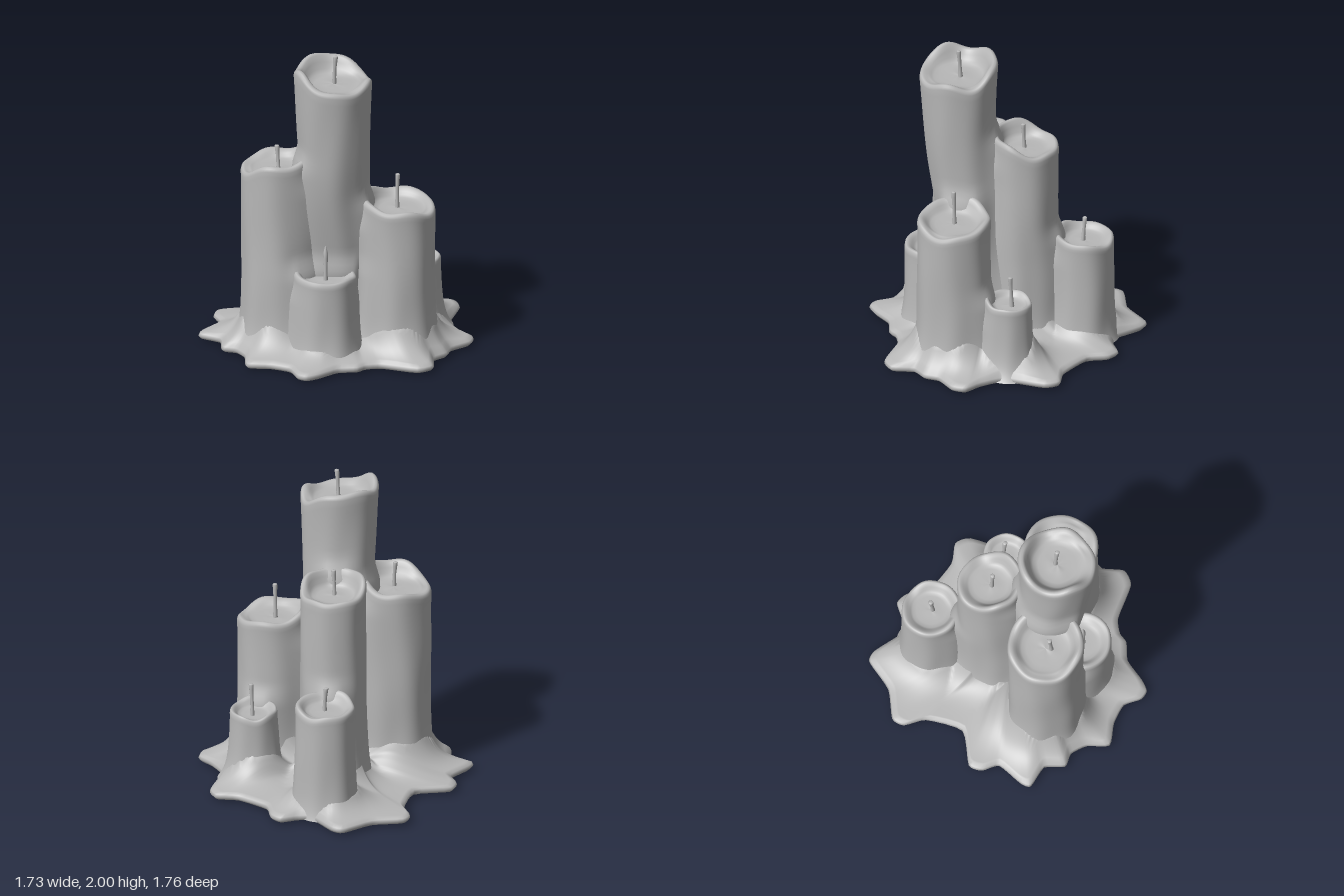
import * as THREE from 'three';

const wax = new THREE.MeshStandardMaterial({ color: 0xb8b8b8 });
wax.name = 'greyWax';

// x, z, radius, rim height, tilt and direction of the high side, lumpiness, taper and bend towards the base,
// flare of the foot, rise of the puddle around it, bowl floor, wick position and tip
const candles = [
  { name: 'tallestCandle', x: -0.005, z: 0.285, r: 0.243, top: 1.88, tilt: 0.05, dir: 3.7, lump: 0.022, taper: -0.26, bend: -0.25, foot: 0.04, rise: 0.1, floor: 1.81, wx: 0, wz: 0.27, tip: 2 },
  { name: 'leftCandle', x: -0.355, z: 0.272, r: 0.236, top: 1.285, tilt: 0.06, dir: 0.2, lump: 0.016, taper: -0.02, bend: 0, foot: 0.09, rise: 0.2, floor: 1.21, wx: -0.35, wz: 0.31, tip: 1.38 },
  { name: 'rightCandle', x: 0.405, z: 0.238, r: 0.229, top: 1.02, tilt: 0.035, dir: 3.3, lump: 0.012, taper: 0.01, bend: 0, foot: 0.09, rise: 0.2, floor: 0.97, wx: 0.395, wz: 0.235, tip: 1.2 },
  { name: 'middleCandle', x: -0.035, z: -0.14, r: 0.205, top: 1.39, tilt: 0.05, dir: 1.7, lump: 0.012, taper: 0, bend: 0, foot: 0.08, rise: 0.15, floor: 1.32, wx: -0.04, wz: -0.13, tip: 1.49 },
  { name: 'backCandle', x: -0.045, z: -0.515, r: 0.185, top: 0.735, tilt: 0.02, dir: 1.5, lump: 0.008, taper: 0.06, bend: 0, foot: 0.04, rise: 0.1, floor: 0.69, wx: -0.04, wz: -0.505, tip: 0.85 },
  { name: 'smallCandle', x: 0.475, z: -0.127, r: 0.148, top: 0.5, tilt: 0.014, dir: 1.5, lump: 0.008, taper: 0.04, bend: 0, foot: 0.09, rise: 0.18, floor: 0.46, wx: 0.48, wz: -0.15, tip: 0.67 },
  { name: 'frontCandle', x: -0.035, z: 0.437, r: 0.195, top: 0.585, tilt: 0.008, dir: 3, lump: 0.006, taper: 0.05, bend: 0, foot: 0.05, rise: 0.08, floor: 0.54, wx: -0.03, wz: 0.455, tip: 0.78, pointed: true },
];

// Skin closed rings of points, each ring joined to the next
function loft(name, rings) {
  const n = rings[0].length, pos = [], idx = [];
  rings.forEach(ring => ring.forEach(p => pos.push(p.x, p.y, p.z)));
  for (let k = 0; k < rings.length - 1; k++) {
    for (let i = 0; i < n; i++) {
      const a = k * n + i, b = k * n + (i + 1) % n;
      idx.push(a, a + n, b, b, a + n, b + n);
    }
  }
  const g = new THREE.BufferGeometry();
  g.setAttribute('position', new THREE.Float32BufferAttribute(pos, 3));
  g.setIndex(idx);
  g.computeVertexNormals();
  const mesh = new THREE.Mesh(g, wax);
  mesh.name = name;
  return mesh;
}

// Axis and plain radius of a candle at a height, and the distance of a point from its wall
const below = (c, y) => Math.max(0, 1 - y / c.top);
const axisZ = (c, y) => c.z + c.bend * below(c, y) ** 2;
const plainRadius = (c, y) => c.r * (1 + c.taper * below(c, y));
const gap = (c, x, y, z) => Math.max(0, Math.hypot(x - c.x, z - axisZ(c, y)) - plainRadius(c, y));

function makeCandle(c, seed) {
  const sides = 72, ph = seed * 1.9 + 0.6;
  const rim = a => c.top + c.tilt * Math.cos(a - c.dir)
    + c.lump * (Math.sin(3 * a + ph) + 0.6 * Math.sin(5 * a + 2 * ph));
  // Wall radius: runs of wax, a flared foot and webs towards the neighbours
  const radius = (a, y) => {
    const f = Math.min(1, y / c.top);
    let r = plainRadius(c, y) + 0.03 * c.r * f ** 12 + c.foot * Math.exp(-y / 0.09);
    r += c.r * (1 - 0.6 * f) * (0.022 * Math.sin(3 * a + ph + 1.3 * y)
      + 0.018 * Math.sin(7 * a - ph + Math.sin(4 * y)) + 0.012 * Math.sin(9 * y + 2 * a));
    const x = c.x + Math.cos(a) * r, z = axisZ(c, y) + Math.sin(a) * r;
    const ownFade = THREE.MathUtils.smoothstep(c.top - y, 0, 0.2);
    for (const o of candles) {
      if (o === c) continue;
      const fade = 1 - THREE.MathUtils.smoothstep(y, o.top - 0.06, o.top + 0.12);
      r += 0.045 * ownFade * fade * Math.exp(-gap(o, x, y, z) / 0.05);
    }
    return r;
  };
  const ring = (scale, height) => Array.from({ length: sides }, (_, i) => {
    const a = i / sides * Math.PI * 2, top = rim(a), y = height(top), r = radius(a, Math.min(y, top)) * scale;
    return new THREE.Vector3(c.x + Math.cos(a) * r, y, axisZ(c, y) + Math.sin(a) * r);
  });
  const rings = [], steps = 44;
  for (let k = 0; k <= steps; k++) {
    const f = (k / steps) ** 1.15;
    rings.push(ring(1, top => 0.02 + (top - 0.05) * f));
  }
  // Rounded lip, then the melted bowl
  [[0.98, -0.012], [0.94, -0.002], [0.88, 0], [0.82, -0.008]].forEach(([s, d]) => rings.push(ring(s, top => top + d)));
  [[0.76, 0.62], [0.7, 0.3], [0.63, 0.1], [0.5, 0], [0.25, 0.02], [0, 0.05]].forEach(([s, m]) =>
    rings.push(ring(s, top => c.floor + (top - c.floor) * m)));
  return loft('wax', rings);
}

function makeWick(c, seed) {
  const low = c.floor - 0.02, h = c.tip - low, lean = 0.012 * Math.sin(seed * 2.3 + 2);
  const profile = c.pointed
    ? [[0, 0.015], [0.4, 0.011], [0.65, 0.015], [0.78, 0.015], [0.92, 0.007], [1, 0]]
    : [[0, 0.017], [0.3, 0.012], [0.6, 0.011], [0.85, 0.014], [0.98, 0.015], [1, 0.012], [1, 0]];
  return loft('wick', profile.map(([t, r]) => Array.from({ length: 10 }, (_, i) => {
    const a = i / 10 * Math.PI * 2;
    return new THREE.Vector3(c.wx + lean * t * t + Math.cos(a) * r, low + h * t, c.wz + lean * t + Math.sin(a) * r);
  })));
}

// Spilled wax with a lobed outline, rising to the foot of each candle
function makePuddle() {
  const outline = [
    [-0.22, -0.88], [-0.14, -0.86], [0, -0.72], [0.1, -0.73], [0.2, -0.78], [0.27, -0.73], [0.32, -0.6], [0.52, -0.49],
    [0.66, -0.49], [0.71, -0.4], [0.68, -0.14], [0.77, 0], [0.86, 0.08], [0.85, 0.17], [0.75, 0.27], [0.73, 0.37],
    [0.66, 0.45], [0.67, 0.59], [0.58, 0.65], [0.35, 0.61], [0.25, 0.64], [0.2, 0.69], [0.08, 0.72], [-0.03, 0.83],
    [-0.1, 0.875], [-0.16, 0.85], [-0.22, 0.75], [-0.35, 0.71], [-0.5, 0.71], [-0.53, 0.57], [-0.6, 0.48], [-0.69, 0.46],
    [-0.72, 0.33], [-0.86, 0.27], [-0.85, 0.2], [-0.76, 0.05], [-0.81, -0.05], [-0.79, -0.14], [-0.57, -0.22],
    [-0.54, -0.46], [-0.6, -0.59], [-0.57, -0.67], [-0.38, -0.73],
  ].map(([x, z]) => new THREE.Vector3(x, 0, z));
  const edge = new THREE.CatmullRomCurve3(outline, true, 'catmullrom', 0.3).getPoints(172).slice(0, -1);
  const flat = (s, y) => edge.map(p => new THREE.Vector3(p.x * s, y, p.z * s));
  const rings = [flat(0, 0), flat(0.5, 0.003), flat(0.94, 0.01), flat(0.98, 0.014), flat(1, 0.032), flat(0.99, 0.05)];
  const steps = 70;
  for (let k = 1; k <= steps; k++) {
    const s = 0.97 * (1 - k / steps);
    rings.push(edge.map(p => {
      const x = p.x * s, z = p.z * s;
      // Wax piles up higher along the long lobes
      const lobe = 0.55 + 0.45 * THREE.MathUtils.smoothstep(p.length(), 0.65, 0.84);
      const pile = Math.max(...candles.map(c => c.rise * Math.exp(-gap(c, x, 0.1, z) / 0.08)));
      const rise = pile * lobe * (1 - s ** 10);
      const ripple = 0.006 * Math.sin(9 * x + 4 * z) * Math.sin(8 * z - 3 * x);
      return new THREE.Vector3(x, 0.056 + 0.02 * (1 - s) + rise + ripple * (1 - s * s), z);
    }));
  }
  return loft('waxPuddle', rings);
}

export function createModel() {
  const model = new THREE.Group();
  model.name = 'meltedCandles';
  model.add(makePuddle());
  candles.forEach((c, i) => {
    const candle = new THREE.Group();
    candle.name = c.name;
    candle.add(makeCandle(c, i), makeWick(c, i));
    model.add(candle);
  });
  return model;
}
